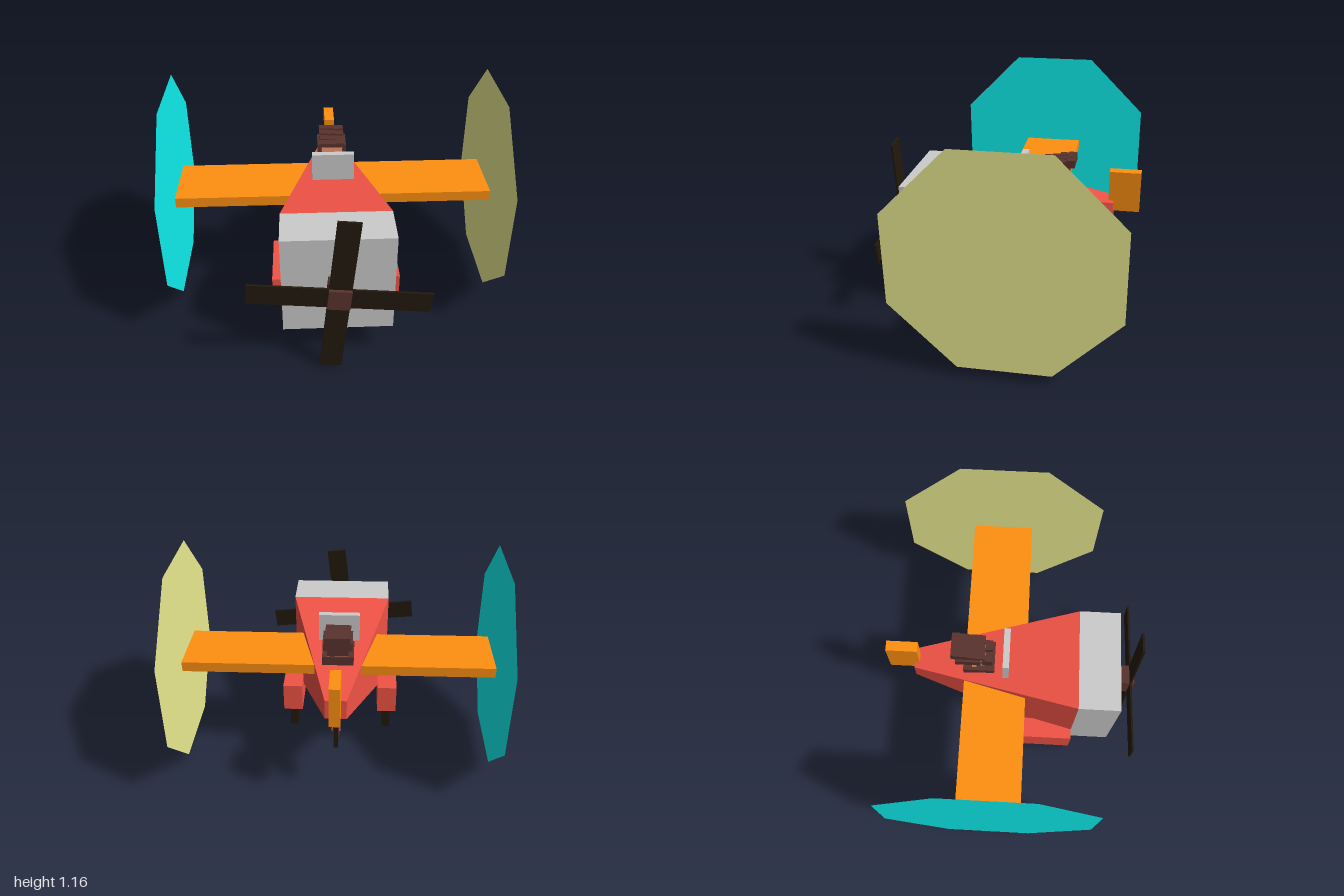
import * as THREE from 'three';

const paint = (color, extra = {}) => new THREE.MeshStandardMaterial({ color, flatShading: true, ...extra });

export function createModel() {
  const red = paint(0xf25346), grey = paint(0xcccccc), orange = paint(0xff9010);
  const brown = paint(0x59332e), dark = paint(0x23190f), skin = paint(0xf5986e);
  const cyan = paint(0x10f6f6, { side: THREE.DoubleSide });
  const yellow = paint(0xf0f094, { side: THREE.DoubleSide });

  // Dimensions below are in plane units; the nose points along the plane's +z.
  const plane = new THREE.Group();
  plane.name = 'plane';
  plane.scale.setScalar(0.011);
  plane.position.y = 0.443;
  plane.rotation.y = 0.635;

  function add(parent, name, geometry, material, x, y, z) {
    const mesh = new THREE.Mesh(geometry, material);
    mesh.name = name;
    mesh.position.set(x, y, z);
    parent.add(mesh);
    return mesh;
  }
  const box = (parent, name, material, [w, h, d], [x, y, z]) =>
    add(parent, name, new THREE.BoxGeometry(w, h, d), material, x, y, z);
  function subgroup(name, x, y, z) {
    const g = new THREE.Group();
    g.name = name;
    g.position.set(x, y, z);
    plane.add(g);
    return g;
  }

  // Cabin: a box tapered towards the tail
  const cabin = new THREE.BoxGeometry(50, 50, 80);
  const p = cabin.attributes.position;
  for (let i = 0; i < p.count; i++) {
    if (p.getZ(i) < 0) {
      p.setX(i, Math.sign(p.getX(i)) * 5);
      p.setY(i, p.getY(i) > 0 ? 15 : 5);
    }
  }
  cabin.computeVertexNormals();
  add(plane, 'cabin', cabin, red, 0, 0, 0);

  // Engine, tail, wing and windshield
  box(plane, 'engine', grey, [50, 50, 20], [0, 0, 50]);
  box(plane, 'tailFin', orange, [5, 20, 15], [0, 20, -45]);
  box(plane, 'wing', orange, [150, 5, 30], [0, 15, 0]);
  box(plane, 'windshield', grey, [20, 15, 3], [0, 27, 5]);

  // Octagonal wing-tip panels
  for (const [side, name, material] of [[1, 'leftTipPanel', yellow], [-1, 'rightTipPanel', cyan]]) {
    const panel = new THREE.CircleGeometry(54.1, 8, Math.PI / 8);
    panel.rotateY(side * Math.PI / 2);
    add(plane, name, panel, material, side * 76.2, 15, 0);
  }

  // Propeller, turned slightly
  const propeller = subgroup('propeller', 0, 0, 60);
  propeller.rotation.z = -0.1;
  box(propeller, 'hub', brown, [10, 10, 20], [0, 0, 0]);
  box(propeller, 'verticalBlade', dark, [10, 80, 1], [0, 0, 8]);
  box(propeller, 'horizontalBlade', dark, [80, 10, 1], [0, 0, 8]);

  // Wheels
  function wheel(name, x, y, z, scale = 1) {
    const g = subgroup(name, x, y, z);
    g.scale.setScalar(scale);
    box(g, 'tire', dark, [4, 24, 24], [0, 0, 0]);
    box(g, 'axle', brown, [6, 10, 10], [0, 0, 0]);
  }
  for (const [side, name] of [[1, 'left'], [-1, 'right']]) {
    box(plane, name + 'WheelGuard', red, [10, 15, 30], [side * 25, -20, 25]);
    wheel(name + 'Wheel', side * 25, -28, 25);
  }
  wheel('tailWheel', 0, -5, -35, 0.5);
  const strut = new THREE.BoxGeometry(4, 20, 4).translate(0, 10, 0);
  add(plane, 'tailStrut', strut, red, 0, -5, -35).rotation.x = 0.3;

  // Pilot
  const pilot = subgroup('pilot', 0, 27, -10);
  box(pilot, 'body', brown, [15, 15, 15], [0, -12, 2]);
  box(pilot, 'face', skin, [10, 10, 10], [0, 0, 0]);
  box(pilot, 'goggleStrap', brown, [11, 1, 11], [0, 0, 0]);
  box(pilot, 'hairBack', brown, [10, 8, 2], [0, 1, -6]);
  for (const side of [1, -1]) {
    box(pilot, 'goggleLens', brown, [5, 5, 5], [side * 3, 0, 6]);
    box(pilot, 'ear', skin, [2, 3, 2], [side * 6, 0, 0]);
    box(pilot, 'hairSide', brown, [2, 4, 12], [side * 6, 3, -3]);
  }
  // Uneven tufts of hair on top
  for (let i = 0; i < 12; i++) {
    const h = 4 * (0.75 + 0.25 * Math.cos(i / 3));
    box(pilot, 'hairTuft', brown, [4, h, 4],
      [(i % 3 - 1) * 4, 5 + h / 2, -9 + Math.floor(i / 3) * 4]);
  }

  const model = new THREE.Group();
  model.name = 'propellerPlane';
  model.add(plane);
  return model;
}
